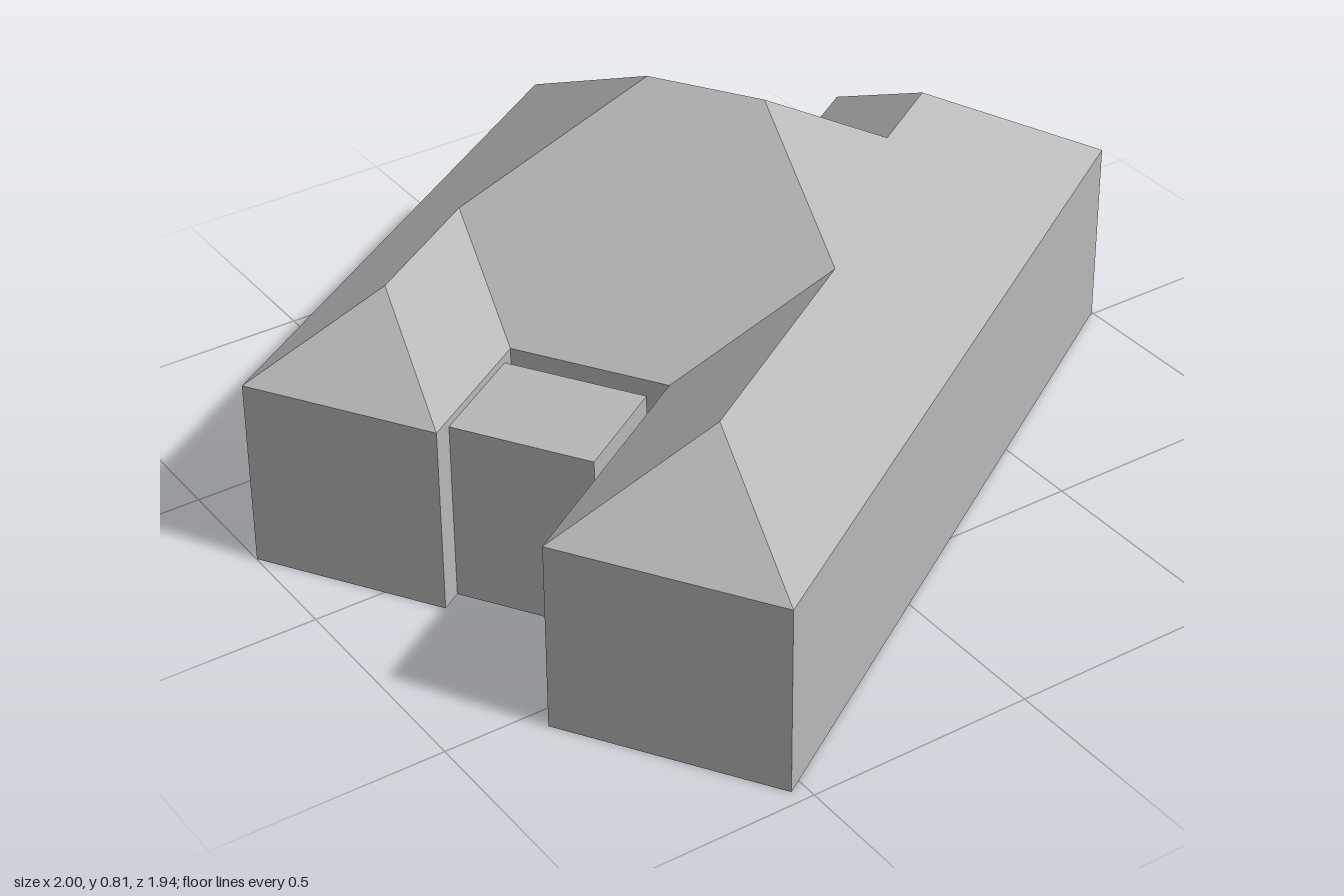
import * as THREE from 'three';

const EAVE = 0.4225;  // wall height
const PITCH = 0.753;  // roof rise per unit of inset from the eave

// Plan points as [along the long wall, depth behind it, inset from the eave]
const P = {
  // footprint corners
  frontLeft: [1.813, 0, 0], frontRight: [0, 0, 0],
  wingBack: [0, 0.5, 0], courtFront: [0.585, 0.5, 0], courtBack: [0.585, 0.848, 0],
  rearWingFront: [0.257, 0.848, 0], rearRight: [0.257, 1.277, 0],
  rearLeft: [1.602, 1.277, 0], notch: [1.602, 0.625, 0], sideBack: [1.813, 0.625, 0],
  // ridge points
  w1: [0.25, 0.25, 0.25], w2: [0.835, 0.25, 0.25],
  v1: [0.4715, 1.0625, 0.2145], v2: [0.7995, 1.0625, 0.2145],
  r1: [1.0935, 0.7685, 0.5085], r2: [1.0935, 0.5085, 0.5085],
  t1: [1.5005, 0.3125, 0.3125], t2: [1.2895, 0.3125, 0.3125],
};

const FOOTPRINT = ['frontRight', 'frontLeft', 'sideBack', 'notch', 'rearLeft',
  'rearRight', 'rearWingFront', 'courtBack', 'courtFront', 'wingBack'];

const ROOF = {
  roofFront: ['frontRight', 'frontLeft', 't1', 't2', 'r2', 'w2', 'w1'],
  roofFrontWingEnd: ['wingBack', 'frontRight', 'w1'],
  roofFrontWingInner: ['courtFront', 'wingBack', 'w1', 'w2'],
  roofCourtyardHip: ['courtBack', 'courtFront', 'w2', 'r2', 'r1', 'v2'],
  roofRearWingInner: ['rearWingFront', 'courtBack', 'v2', 'v1'],
  roofRearWingEnd: ['rearRight', 'rearWingFront', 'v1'],
  roofBack: ['rearLeft', 'rearRight', 'v1', 'v2', 'r1'],
  roofSideHip: ['notch', 'rearLeft', 'r1', 'r2', 't2'],
  roofSideWingInner: ['sideBack', 'notch', 't2', 't1'],
  roofSideWingEnd: ['frontLeft', 'sideBack', 't1'],
};

const plan = (names) => names.map((n) => new THREE.Vector2(P[n][0], P[n][1]));

// One sloping roof plane, triangulated in plan and facing up
function roofPlane(names) {
  const flat = plan(names);
  const positions = [];
  for (const tri of THREE.ShapeUtils.triangulateShape(flat, [])) {
    const corners = tri.map((i) => flat[i]);
    const order = THREE.ShapeUtils.isClockWise(corners) ? [tri[0], tri[2], tri[1]] : tri;
    for (const i of order) {
      const [u, v, inset] = P[names[i]];
      positions.push(u, EAVE + inset * PITCH, -v);
    }
  }
  const geometry = new THREE.BufferGeometry();
  geometry.setAttribute('position', new THREE.Float32BufferAttribute(positions, 3));
  geometry.computeVertexNormals();
  return geometry;
}

export function createModel() {
  const grey = new THREE.MeshStandardMaterial({ color: 0xb8b8b8 });
  grey.name = 'plainGrey';

  const house = new THREE.Group();
  house.name = 'house';
  const add = (name, geometry) => {
    const mesh = new THREE.Mesh(geometry, grey);
    mesh.name = name;
    house.add(mesh);
    return mesh;
  };

  // Walls: the footprint raised to the eaves
  const walls = new THREE.ExtrudeGeometry(new THREE.Shape(plan(FOOTPRINT)),
    { depth: EAVE, bevelEnabled: false });
  walls.rotateX(-Math.PI / 2);
  add('walls', walls);

  // Hipped roof, one mesh per slope
  for (const [name, names] of Object.entries(ROOF)) add(name, roofPlane(names));

  // Flat-topped block in the courtyard, with a narrow gap to the walls
  add('courtyardBlock', new THREE.BoxGeometry(0.248, 0.405, 0.311))
    .position.set(0.433, 0.2025, -0.6925);

  // Turn the plan to its diagonal position
  house.rotation.y = 0.567;
  house.position.set(-0.53, 0, 0.969);

  const model = new THREE.Group();
  model.name = 'model';
  model.add(house);
  return model;
}
